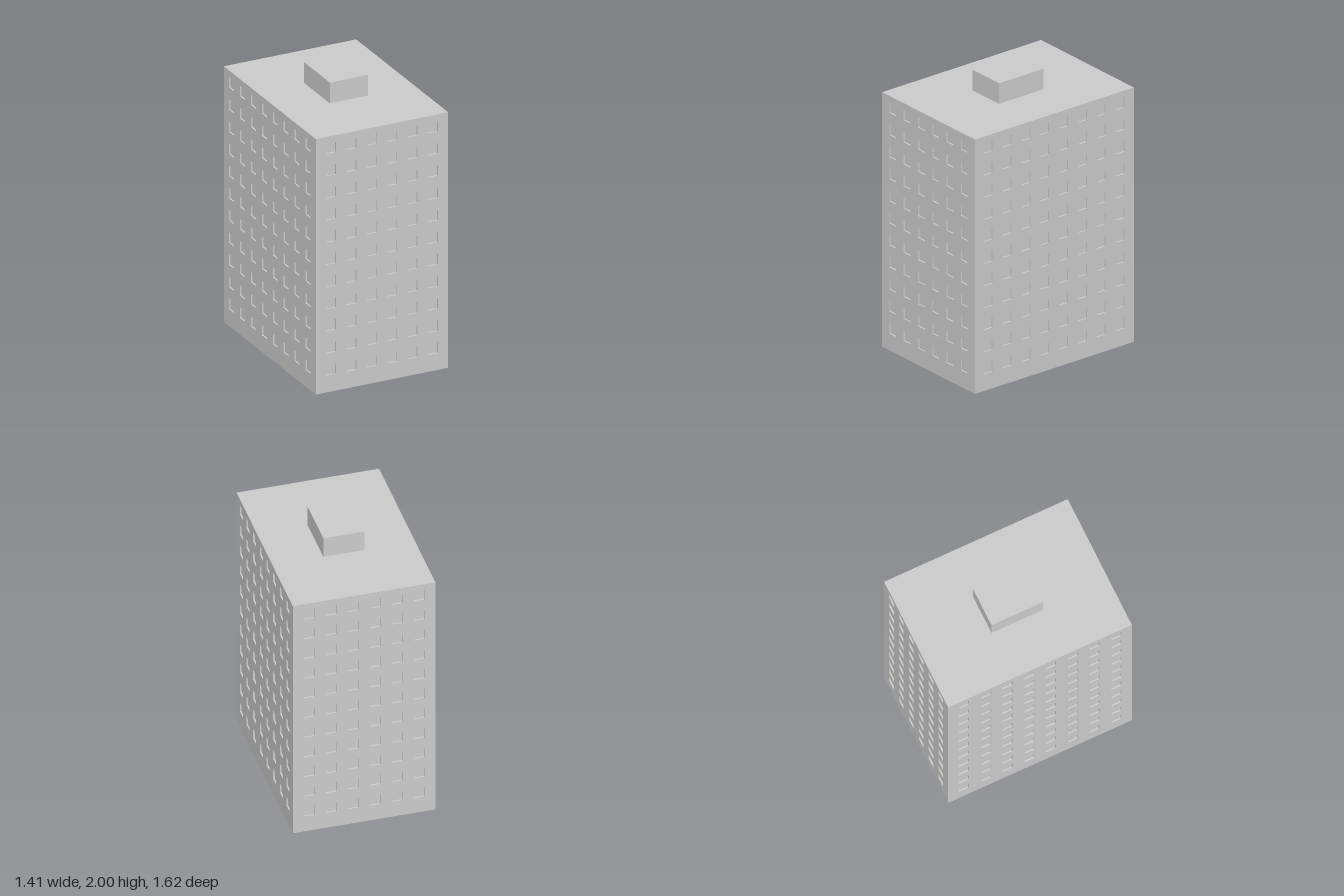
import * as THREE from 'three';
import { mergeGeometries } from 'three/addons/utils/BufferGeometryUtils.js';

const WIDTH = 0.984, DEPTH = 1.35, HEIGHT = 1.85, TURN = 0.375;
const ROWS = 11, ROW_STEP = 0.1605, FIRST_ROW = 0.159;
const WIN_W = 0.072, WIN_H = 0.075, RECESS = 0.011;

const material = new THREE.MeshStandardMaterial({ color: 0xcccccc, side: THREE.DoubleSide, flatShading: true });

function addMesh(parent, name, geometry) {
  const mesh = new THREE.Mesh(geometry, material);
  mesh.name = name;
  parent.add(mesh);
  return mesh;
}

// Box with one face left out (0..5 = +x, -x, +y, -y, +z, -z)
function openBox(w, h, d, face) {
  const geometry = new THREE.BoxGeometry(w, h, d);
  const index = Array.from(geometry.index.array);
  index.splice(face * 6, 6);
  geometry.setIndex(index);
  geometry.clearGroups();
  return geometry;
}

// Wall sheet in the xy plane, facing +z, pierced by a grid of recessed windows
function makeWall(name, length, columns, step) {
  const wall = new THREE.Group();
  wall.name = name;
  const sheet = new THREE.Shape([
    new THREE.Vector2(-length / 2, 0), new THREE.Vector2(length / 2, 0),
    new THREE.Vector2(length / 2, HEIGHT), new THREE.Vector2(-length / 2, HEIGHT),
  ]);
  const recesses = [];
  for (let row = 0; row < ROWS; row++) {
    for (let col = 0; col < columns; col++) {
      const x = (col - (columns - 1) / 2) * step;
      const y = FIRST_ROW + row * ROW_STEP;
      const a = x - WIN_W / 2, b = x + WIN_W / 2, c = y - WIN_H / 2, d = y + WIN_H / 2;
      sheet.holes.push(new THREE.Path([
        new THREE.Vector2(a, c), new THREE.Vector2(a, d),
        new THREE.Vector2(b, d), new THREE.Vector2(b, c),
      ]));
      // Reveal sides and pane, open towards the outside
      recesses.push(openBox(WIN_W, WIN_H, RECESS, 4).translate(x, y, -RECESS / 2));
    }
  }
  addMesh(wall, name + 'Facade', new THREE.ShapeGeometry(sheet));
  addMesh(wall, name + 'Windows', mergeGeometries(recesses));
  return wall;
}

export function createModel() {
  const model = new THREE.Group();
  model.name = 'apartmentTower';
  const tower = new THREE.Group();
  tower.name = 'tower';
  tower.rotation.y = TURN;
  model.add(tower);

  // Four walls around an open-bottomed shell
  ['frontWall', 'leftWall', 'backWall', 'rightWall'].forEach((name, i) => {
    const long = i % 2 === 1;
    const wall = long ? makeWall(name, DEPTH, 8, 0.16) : makeWall(name, WIDTH, 6, 0.1516);
    const angle = i * Math.PI / 2;
    const reach = (long ? WIDTH : DEPTH) / 2;
    wall.rotation.y = angle;
    wall.position.set(Math.sin(angle) * reach, 0, Math.cos(angle) * reach);
    tower.add(wall);
  });

  // Flat roof
  addMesh(tower, 'roof', new THREE.PlaneGeometry(WIDTH, DEPTH).rotateX(-Math.PI / 2)).position.y = HEIGHT;

  // Rooftop plant room, without a floor
  addMesh(tower, 'rooftopRoom', openBox(0.283, 0.15, 0.378, 3)).position.y = HEIGHT + 0.075;

  return model;
}
